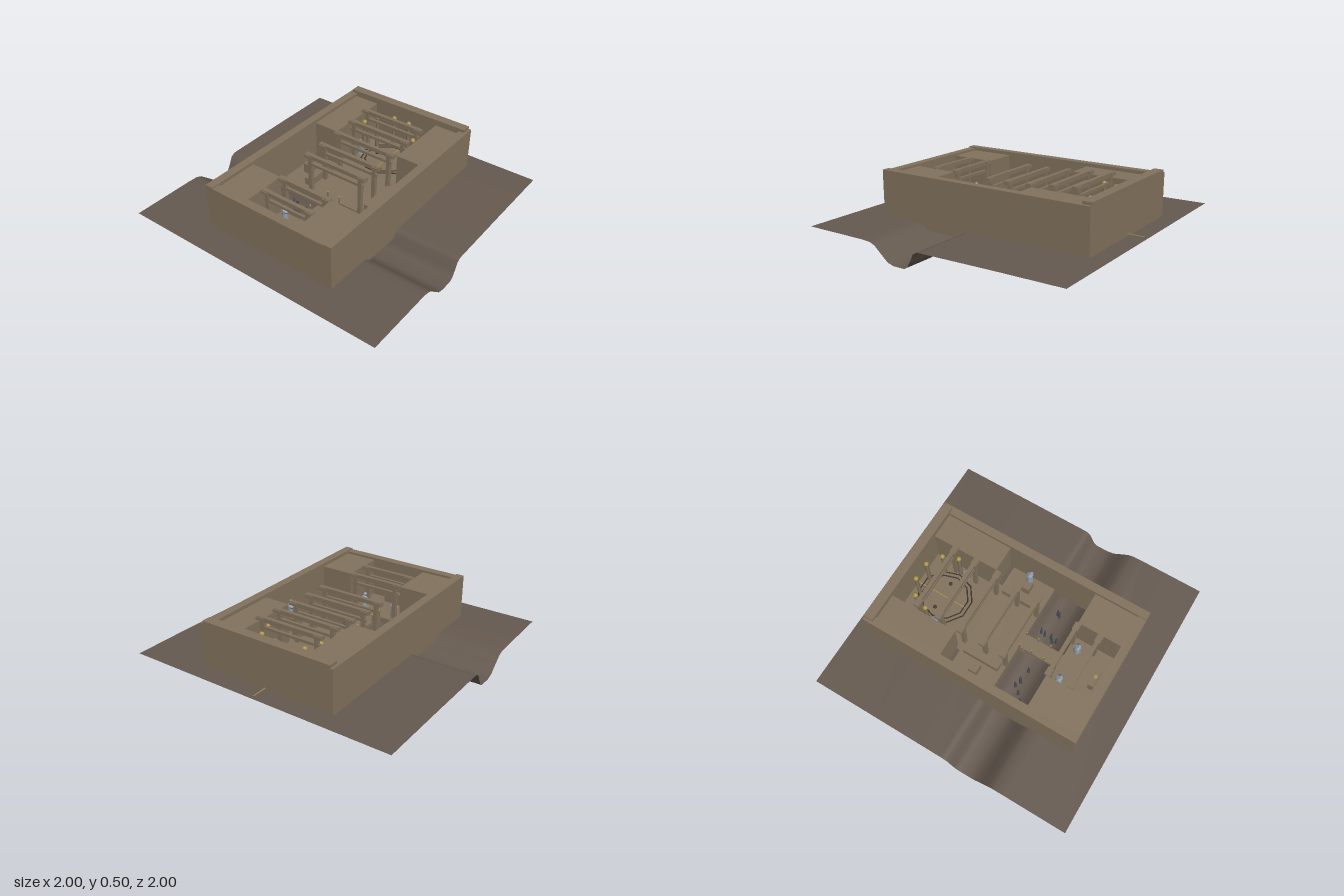
import * as THREE from 'three';

const make = (name, color) => Object.assign(new THREE.MeshStandardMaterial({ color }), { name });

export function createModel() {
  const root = new THREE.Group();
  const stone = make('sandy stone', 0x83735e);
  const earth = make('dark earth', 0x665a50);
  earth.side = THREE.DoubleSide;
  const brass = make('brass', 0xa8924a);
  const crystal = make('pale blue stone', 0x8d9aa8);
  const slate = make('slate', 0x4c5058);
  const dark = make('dark inlay', 0x443b31);

  const add = (name, geometry, material, x = 0, y = 0, z = 0, parent = root) => {
    const m = new THREE.Mesh(geometry, material);
    m.name = name;
    m.position.set(x, y, z);
    parent.add(m);
    return m;
  };
  // Box given by its limits on each axis
  const block = (name, x0, x1, y0, y1, z0, z1, material = stone, parent = root) =>
    add(name, new THREE.BoxGeometry(x1 - x0, y1 - y0, z1 - z0), material,
      (x0 + x1) / 2, (y0 + y1) / 2, (z0 + z1) / 2, parent);
  // Same box on both sides of x = 0
  const pair = (name, x0, x1, ...rest) => {
    block(name, x0, x1, ...rest);
    block(name, -x1, -x0, ...rest);
  };

  // Ground sheet with a ravine running across it
  const profile = [[-1, 0.16], [-0.5, 0.157], [0.03, 0.15], [0.06, 0.146], [0.085, 0.13], [0.11, 0.08],
    [0.135, 0.035], [0.16, 0.021], [0.25, 0.02], [0.3, 0.034], [0.36, 0.085], [0.41, 0.127],
    [0.45, 0.142], [0.52, 0.146], [1, 0.146]];
  const ground = new THREE.PlaneGeometry(2, 2, 1, profile.length - 1).rotateX(-Math.PI / 2);
  profile.forEach(([z, y], i) => {
    for (let j = 0; j < 2; j++) {
      ground.attributes.position.setY(i * 2 + j, y);
      ground.attributes.position.setZ(i * 2 + j, z);
    }
  });
  ground.computeVertexNormals();
  add('ground', ground, earth);

  // Outer walls
  pair('sideWall', 0.46, 0.52, 0.1, 0.475, -0.87, 0.78);
  block('frontWall', -0.46, 0.46, 0.1, 0.467, 0.72, 0.78);
  block('backWall', -0.46, 0.46, 0.1, 0.475, -0.87, -0.8);
  block('backCoping', -0.5, 0.5, 0.475, 0.496, -0.87, -0.8);

  // Solid masses beside the end rooms, and the room floors
  pair('northMass', 0.265, 0.46, 0.13, 0.45, -0.8, -0.29);
  pair('southMass', 0.215, 0.46, 0.13, 0.45, 0.39, 0.72);
  block('northFloor', -0.265, 0.265, 0.13, 0.165, -0.8, -0.29);
  block('passageFloor', -0.29, 0.29, 0.13, 0.165, -0.29, -0.26);
  block('middleFloor', -0.46, 0.46, 0.13, 0.165, -0.26, 0.085);
  block('southFloor', -0.215, 0.215, 0.13, 0.165, 0.39, 0.72);

  // Gates: posts, tie beam, lintel and end caps
  const gate = (z, half, top) => {
    const g = new THREE.Group();
    g.name = 'gate';
    block('lintel', -half, half, top - 0.03, top, z - 0.014, z + 0.014, stone, g);
    block('tieBeam', -half + 0.02, half - 0.02, top - 0.085, top - 0.065, z - 0.01, z + 0.01, stone, g);
    for (const s of [-1, 1]) {
      add('post', new THREE.BoxGeometry(0.028, top - 0.19, 0.028), stone,
        s * (half - 0.045), (top + 0.13) / 2, z, g);
      add('endCap', new THREE.BoxGeometry(0.06, 0.02, 0.044), stone,
        s * (half - 0.03), top - 0.015, z, g);
    }
    root.add(g);
  };
  gate(-0.61, 0.26, 0.5);
  gate(-0.44, 0.26, 0.487);
  gate(-0.265, 0.26, 0.47);
  gate(-0.09, 0.26, 0.46);
  gate(0.07, 0.26, 0.46);
  gate(0.395, 0.215, 0.46);
  gate(0.567, 0.215, 0.46);

  // Middle room benches and pedestals
  pair('bench', 0.235, 0.292, 0.165, 0.22, -0.23, 0.05);
  pair('pedestal', 0.325, 0.395, 0.125, 0.24, -0.125, -0.06);

  // Bridge over the ravine with brass-topped rail posts
  block('bridgeDeck', -0.055, 0.055, 0.14, 0.17, 0.08, 0.39);
  for (const z of [0.115, 0.37]) block('bridgePier', -0.06, 0.06, 0, 0.14, z - 0.016, z + 0.016);
  for (const z of [0.09, 0.185, 0.285, 0.38]) for (const x of [-0.05, 0.05]) {
    block('railPost', x - 0.004, x + 0.004, 0.17, 0.22, z - 0.004, z + 0.004);
    add('railKnob', new THREE.SphereGeometry(0.007, 8, 6), brass, x, 0.224, z);
  }

  // Altar in the south room
  block('altar', -0.07, 0.07, 0.165, 0.25, 0.645, 0.685);
  add('altarBowl', new THREE.CylinderGeometry(0.014, 0.008, 0.015, 8), brass, 0, 0.257, 0.667);

  // Circle in the north room floor, ringed with brass-topped pillars
  for (const r of [0.2, 0.17]) {
    add('floorRing', new THREE.TorusGeometry(r, 0.005, 4, 10).rotateX(Math.PI / 2), dark, 0, 0.168, -0.57);
  }
  for (const [x, z] of [[0.215, -0.57], [0.172, -0.68], [0.065, -0.745]]) for (const s of [-1, 1]) {
    add('pillar', new THREE.CylinderGeometry(0.012, 0.015, 0.24, 8), stone, s * x, 0.285, z);
    add('pillarOrb', new THREE.SphereGeometry(0.019, 10, 8), brass, s * x, 0.415, z);
  }
  for (const x of [-0.105, 0.105]) {
    add('floorStud', new THREE.CylinderGeometry(0.014, 0.014, 0.01, 8), dark, x, 0.17, -0.59);
  }
  block('brassStrip', -0.003, 0.003, 0.168, 0.171, -0.98, -0.4, brass);

  // Small weathered statues
  for (const [x, y, z] of [[-0.205, 0.165, -0.515], [0.21, 0.165, -0.515], [0.405, 0.24, -0.095],
    [-0.13, 0.165, 0.455], [0.13, 0.165, 0.455]]) {
    const g = new THREE.Group();
    g.name = 'statue';
    g.position.set(x, y, z);
    add('body', new THREE.CylinderGeometry(0.018, 0.028, 0.08, 6), crystal, 0, 0.04, 0, g);
    add('shoulders', new THREE.IcosahedronGeometry(0.027, 0), crystal, 0, 0.08, 0, g).scale.x = 1.2;
    add('head', new THREE.IcosahedronGeometry(0.016, 0), crystal, 0, 0.115, 0.008, g);
    root.add(g);
  }

  // Spikes standing in the ravine
  for (const [x, z] of [[-0.365, 0.28], [-0.32, 0.24], [-0.28, 0.192], [-0.24, 0.21], [-0.23, 0.205],
    [-0.14, 0.22], [0.165, 0.148], [0.16, 0.18], [0.165, 0.232], [0.14, 0.252], [0.152, 0.28],
    [0.35, 0.182], [0.34, 0.2]]) {
    add('spike', new THREE.CylinderGeometry(0.004, 0.013, 0.12, 6), slate, x, 0.07, z);
  }
  return root;
}
